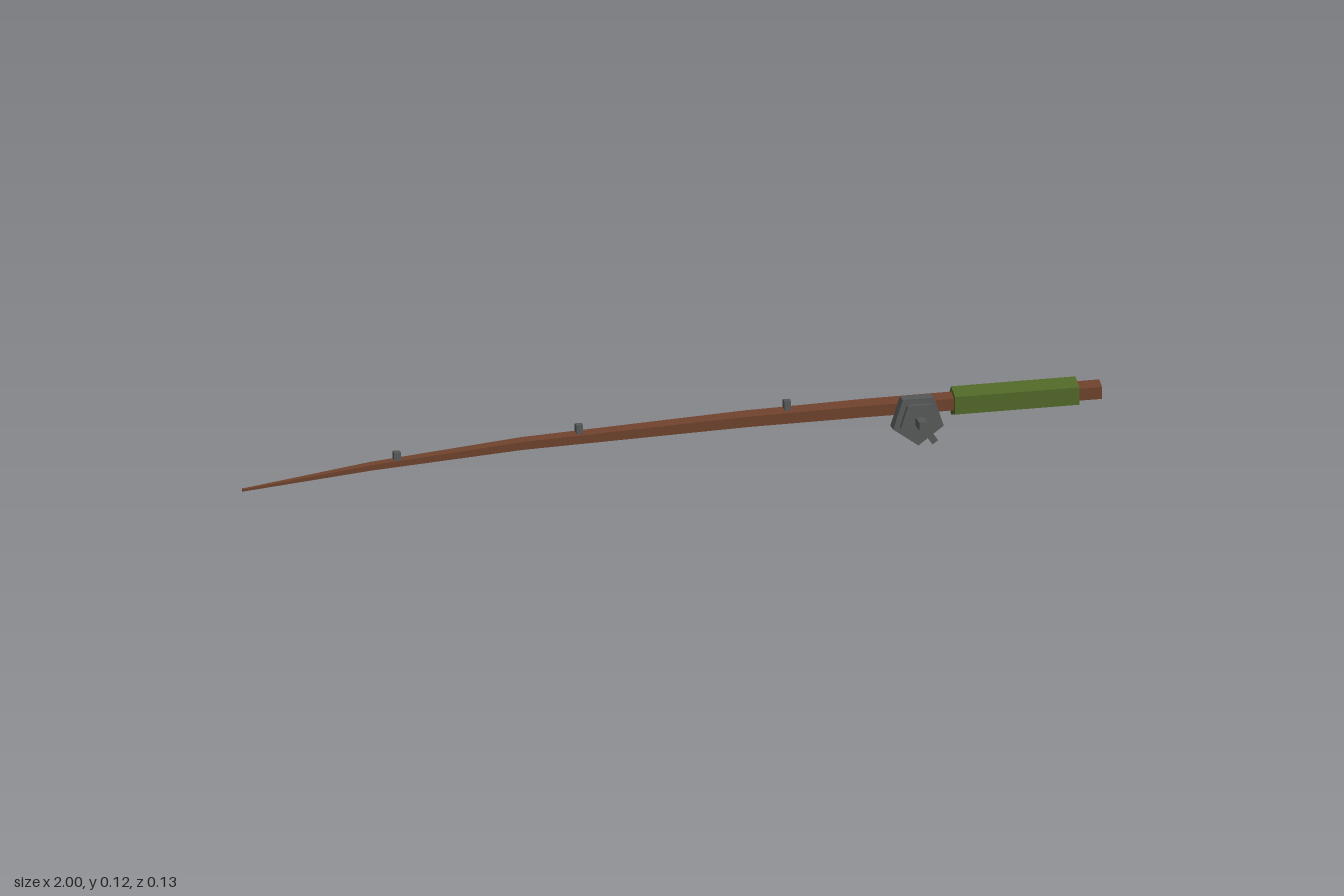
import * as THREE from 'three';

const ROD_Z = -0.029;
const mat = (color) => new THREE.MeshStandardMaterial({ color, flatShading: true });

// Five-sided bar along x through stations of [x, y, radius]
function pentagonBar(stations) {
  const n = stations.length - 1;
  const geo = new THREE.CylinderGeometry(1, 1, 1, 5, n, false, Math.PI).rotateZ(Math.PI / 2);
  const p = geo.attributes.position;
  for (let i = 0; i < p.count; i++) {
    const [x, y, r] = stations[Math.round((p.getX(i) + 0.5) * n)];
    p.setXYZ(i, x, y + p.getY(i) * r, ROD_Z + p.getZ(i) * r);
  }
  geo.computeVertexNormals();
  return geo;
}

export function createModel() {
  const model = new THREE.Group();
  const wood = mat(0x6b402b);
  const green = mat(0x4f6526);
  const metal = mat(0x555656);

  const add = (name, geo, material, parent = model) => {
    const mesh = new THREE.Mesh(geo, material);
    mesh.name = name;
    parent.add(mesh);
    return mesh;
  };

  // Drooping tapered rod and its grip
  add('rod', pentagonBar([
    [-1, 0.008, 0.004], [-0.7, 0.04, 0.011], [-0.35, 0.065, 0.016],
    [0.17, 0.081, 0.021], [0.45, 0.084, 0.023], [1, 0.084, 0.0245],
  ]), wood);
  add('grip', pentagonBar([[0.655, 0.084, 0.0355], [0.945, 0.084, 0.0355]]), green);

  // Line guides on top of the rod
  for (const [x, top] of [[-0.64, 0.071], [-0.215, 0.102], [0.27, 0.12]]) {
    add('lineGuide', new THREE.BoxGeometry(0.016, 0.03, 0.016), metal)
      .position.set(x, top - 0.015, ROD_Z);
  }

  // Reel: two five-sided discs, point down, with a crank on the front
  const reel = new THREE.Group();
  reel.name = 'reel';
  reel.position.set(0.565, 0.065, 0);
  model.add(reel);
  const disc = (name, r, z0, z1) =>
    add(name, new THREE.CylinderGeometry(r, r, z1 - z0, 5).rotateX(Math.PI / 2), metal, reel)
      .position.set(0, 0, (z0 + z1) / 2);
  disc('reelBody', 0.062, -0.009, 0.019);
  disc('reelCover', 0.046, 0.019, 0.03);
  add('crankAxle', new THREE.BoxGeometry(0.019, 0.019, 0.037), metal, reel)
    .position.set(0, 0, 0.0485);
  const arm = add('crankArm', new THREE.BoxGeometry(0.016, 0.052, 0.013)
    .translate(0, -0.023, 0), metal, reel);
  arm.position.z = 0.0605;
  arm.rotation.z = 0.6;

  return model;
}
